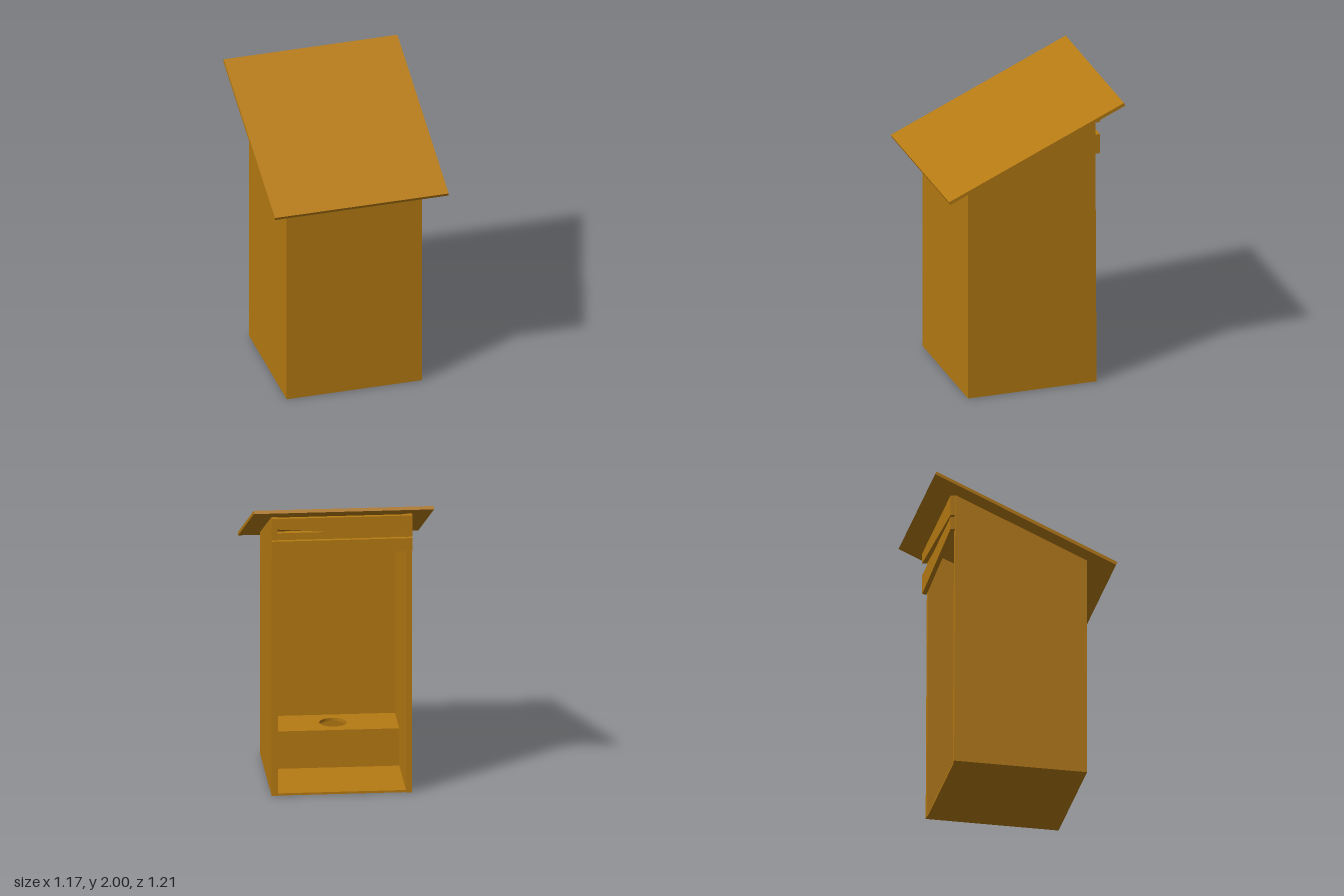
import * as THREE from 'three';

const wood = new THREE.MeshStandardMaterial({ color: 0xb57a12 });

export function createModel() {
  const model = new THREE.Group();
  const halfW = 0.458, front = 0.43, back = -0.447, wall = 0.04;

  const add = (name, geometry) => {
    const mesh = new THREE.Mesh(geometry, wood);
    mesh.name = name;
    model.add(mesh);
    return mesh;
  };
  const box = (name, w, h, d, x, y, z) => {
    const mesh = add(name, new THREE.BoxGeometry(w, h, d));
    mesh.position.set(x, y, z);
    return mesh;
  };
  const extrude = (points, depth) => new THREE.ExtrudeGeometry(
    new THREE.Shape(points.map(p => new THREE.Vector2(...p))),
    { depth, bevelEnabled: false });

  // Side walls with a sloping top, drawn in (-z, y) and turned to face x
  for (const [name, x] of [['leftWall', halfW - wall], ['rightWall', -halfW]]) {
    const g = extrude([[-front, 0], [0.452, 0], [0.443, 1.905], [-front, 1.518]], wall);
    g.rotateY(Math.PI / 2);
    add(name, g).position.x = x;
  }

  // Front wall and floor
  const inner = 2 * (halfW - wall);
  box('frontWall', inner, 1.518, wall, 0, 0.759, front - wall / 2);
  box('floor', inner, 0.015, front - wall - back, 0, 0.0075, (front - wall + back) / 2);

  // Tapered boards above the open doorway
  const boards = {
    upperDoorBoard: [[-halfW, 1.76], [halfW, 1.83], [halfW, 1.9], [-halfW, 1.9]],
    lowerDoorBoard: [[-halfW, 1.66], [halfW, 1.61], [halfW, 1.745], [-halfW, 1.745]],
  };
  for (const [name, pts] of Object.entries(boards)) {
    add(name, extrude(pts, 0.03)).position.z = -0.475;
  }

  // Bench: a front panel and a seat with a round hole
  const benchBack = front - wall, benchFront = 0.065, benchTop = 0.27;
  box('benchPanel', inner, benchTop - 0.035, 0.02, 0, (benchTop - 0.005) / 2, benchFront + 0.01);
  const seat = new THREE.Shape([
    [-inner / 2, -benchBack], [inner / 2, -benchBack],
    [inner / 2, -benchFront], [-inner / 2, -benchFront],
  ].map(p => new THREE.Vector2(...p)));
  const hole = new THREE.Path();
  hole.absarc(0, -(benchBack + benchFront) / 2, 0.09, 0, Math.PI * 2, true);
  seat.holes.push(hole);
  const seatGeo = new THREE.ExtrudeGeometry(seat, { depth: 0.02, bevelEnabled: false, curveSegments: 16 });
  seatGeo.rotateX(-Math.PI / 2);
  add('benchSeat', seatGeo).position.y = benchTop - 0.02;

  // Single-pitch roof, low at the front
  const roof = box('roof', 1.175, 0.022, 1.315, 0, 1.722, 0);
  roof.rotation.x = 0.42;

  return model;
}
